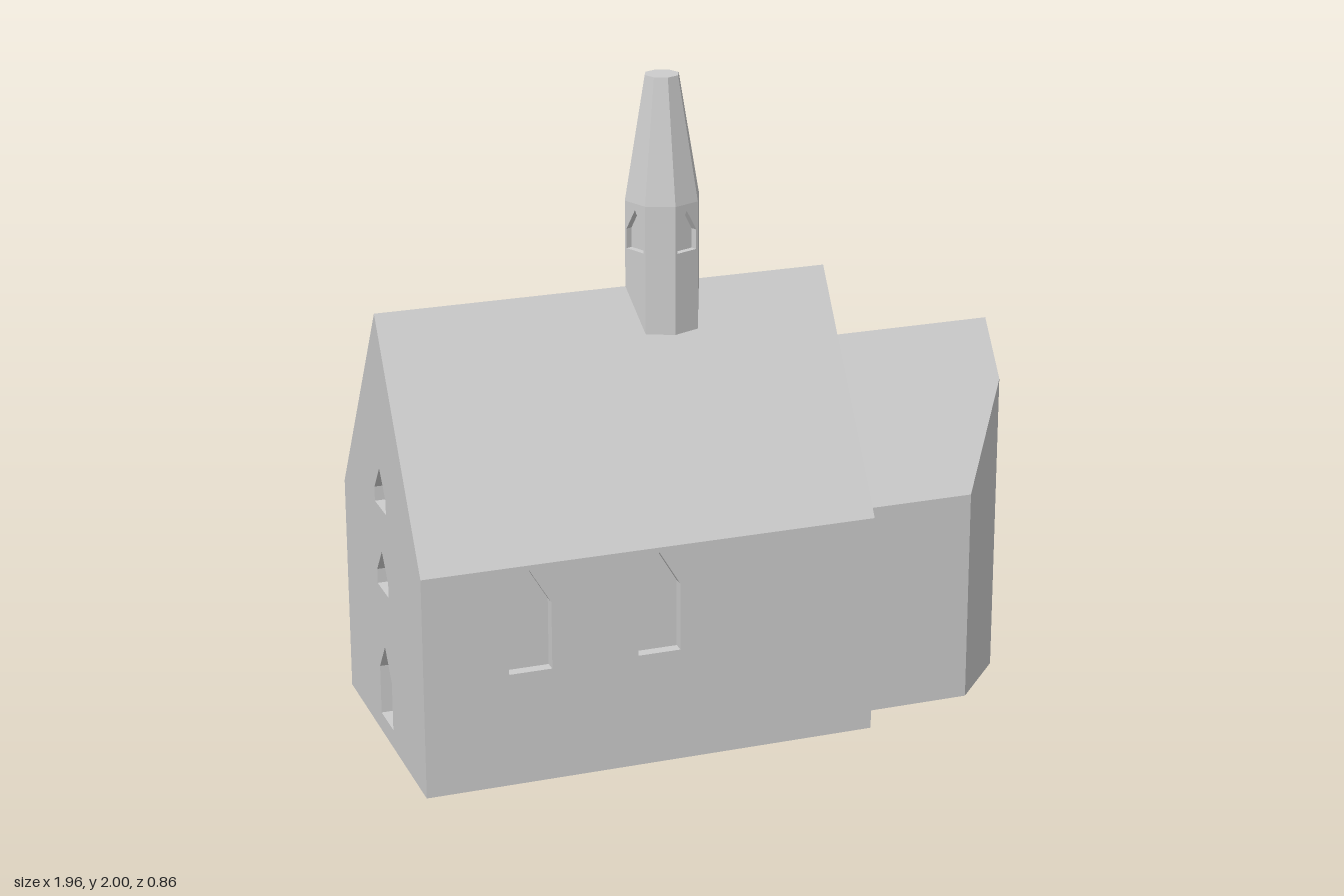
import * as THREE from 'three';
import { mergeGeometries } from 'three/addons/utils/BufferGeometryUtils.js';

const stone = new THREE.MeshStandardMaterial({ color: 0xcccccc });
stone.name = 'pale stone';

// Flat-faced geometry from convex polygons, corners counter-clockwise from outside
function faces(polygons) {
  const pos = [];
  for (const p of polygons)
    for (let i = 1; i < p.length - 1; i++) pos.push(...p[0], ...p[i], ...p[i + 1]);
  const g = new THREE.BufferGeometry();
  g.setAttribute('position', new THREE.Float32BufferAttribute(pos, 3));
  g.computeVertexNormals();
  return g;
}

// The same polygon on the other side of the z = 0 plane
const mirror = (p) => p.map(([x, y, z]) => [x, y, -z]).reverse();
const both = (p) => [p, mirror(p)];

// Pointed window outline, counter-clockwise from the lower left
const pointed = (x, bottom, shoulder, tip, width) => [
  [x - width / 2, bottom], [x + width / 2, bottom],
  [x + width / 2, shoulder], [x, tip], [x - width / 2, shoulder],
];

// Wall facing +z with window niches sunk into it
function wall(outline, windows, depth) {
  const toShape = (pts) => new THREE.Shape(pts.map(([x, y]) => new THREE.Vector2(x, y)));
  const shape = toShape(outline);
  shape.holes = windows.map(toShape);
  const front = new THREE.ShapeGeometry(shape).toNonIndexed();
  front.deleteAttribute('uv');
  const niches = [];
  for (const w of windows) {
    niches.push(w.map(([x, y]) => [x, y, -depth]));
    w.forEach(([ax, ay], i) => {
      const [bx, by] = w[(i + 1) % w.length];
      niches.push([[ax, ay, 0], [bx, by, 0], [bx, by, -depth], [ax, ay, -depth]]);
    });
  }
  return niches.length ? mergeGeometries([front, faces(niches)]) : front;
}

function add(parent, name, geometry) {
  const mesh = new THREE.Mesh(geometry, stone);
  mesh.name = name;
  parent.add(mesh);
  return mesh;
}

function buildNave() {
  const nave = new THREE.Group();
  nave.name = 'nave';
  const x0 = -0.98, x1 = 0.43, w = 0.43, eave = 0.69, ridge = 1.36;

  // Long walls, each with two windows
  for (const s of [1, -1]) {
    const a = Math.min(s * x0, s * x1), b = Math.max(s * x0, s * x1);
    const windows = [-0.655, -0.255].map((x) => pointed(s * x, 0.355, 0.565, 0.675, 0.132));
    const side = add(nave, s > 0 ? 'frontWall' : 'backWall',
      wall([[a, 0], [b, 0], [b, eave], [a, eave]], windows, 0.035));
    side.position.z = s * w;
    if (s < 0) side.rotation.y = Math.PI;
  }

  // Gable walls, the entrance one with three windows above each other
  const gable = [[-w, 0], [w, 0], [w, eave], [0, ridge], [-w, eave]];
  const entrance = add(nave, 'entranceGable', wall(gable, [
    pointed(0, 0.06, 0.215, 0.305, 0.135),
    pointed(0, 0.49, 0.535, 0.615, 0.125),
    pointed(0, 0.755, 0.8, 0.88, 0.125),
  ], 0.04));
  entrance.position.x = x0;
  entrance.rotation.y = -Math.PI / 2;
  const inner = add(nave, 'choirGable', wall(gable, [], 0));
  inner.position.x = x1;
  inner.rotation.y = Math.PI / 2;

  add(nave, 'naveRoof', faces(both(
    [[x0, eave, w], [x1, eave, w], [x1, ridge, 0], [x0, ridge, 0]])));
  add(nave, 'naveFloor', faces([[[x0, 0, -w], [x1, 0, -w], [x1, 0, w], [x0, 0, w]]]));
  return nave;
}

function buildChoir() {
  const choir = new THREE.Group();
  choir.name = 'choir';
  const x0 = 0.43, x1 = 0.8, x2 = 0.98, w = 0.315, c = 0.115;
  const eave = 0.675, ridge = 1.13, cut = ridge - (ridge - eave) * c / w;

  add(choir, 'choirWalls', faces([
    ...both([[x0, 0, w], [x1, 0, w], [x1, eave, w], [x0, eave, w]]),
    ...both([[x1, 0, w], [x2, 0, c], [x2, cut, c], [x1, eave, w]]),
    [[x2, 0, c], [x2, 0, -c], [x2, cut, -c], [x2, ridge, 0], [x2, cut, c]],
  ]));
  add(choir, 'choirRoof', faces(both(
    [[x0, eave, w], [x1, eave, w], [x2, cut, c], [x2, ridge, 0], [x0, ridge, 0]])));
  add(choir, 'choirFloor', faces([
    [[x0, 0, -w], [x1, 0, -w], [x2, 0, -c], [x2, 0, c], [x1, 0, w], [x0, 0, w]]]));
  return choir;
}

function buildTurret() {
  const turret = new THREE.Group();
  turret.name = 'bellTurret';
  turret.position.x = -0.09;
  const r = 0.117, bottom = 1.23, top = 1.625, peak = 2;
  const half = r * Math.sin(Math.PI / 8), apothem = r * Math.cos(Math.PI / 8);

  // Eight shaft walls, every second one with a bell opening
  for (let i = 0; i < 8; i++) {
    const angle = (i + 0.5) * Math.PI / 4;
    const openings = i % 2 ? [] : [pointed(0, 1.48, 1.54, 1.605, 0.076)];
    const panel = add(turret, 'turretWall', wall(
      [[-half, bottom], [half, bottom], [half, top], [-half, top]], openings, 0.02));
    panel.position.set(Math.sin(angle) * apothem, 0, Math.cos(angle) * apothem);
    panel.rotation.y = angle;
  }

  // Underside of the shaft and blunt tapering spire
  const underside = add(turret, 'turretUnderside', new THREE.CircleGeometry(r, 8));
  underside.rotation.x = Math.PI / 2;
  underside.position.y = bottom;

  const ring = (radius, y) => Array.from({ length: 8 }, (_, i) => {
    const a = i * Math.PI / 4;
    return [Math.sin(a) * radius, y, Math.cos(a) * radius];
  });
  const low = ring(r, top), high = ring(0.053, peak);
  add(turret, 'spire', faces([
    ...low.map((p, i) => [p, low[(i + 1) % 8], high[(i + 1) % 8], high[i]]), high]));
  return turret;
}

export function createModel() {
  const church = new THREE.Group();
  church.name = 'church';
  church.add(buildNave(), buildChoir(), buildTurret());
  return church;
}
